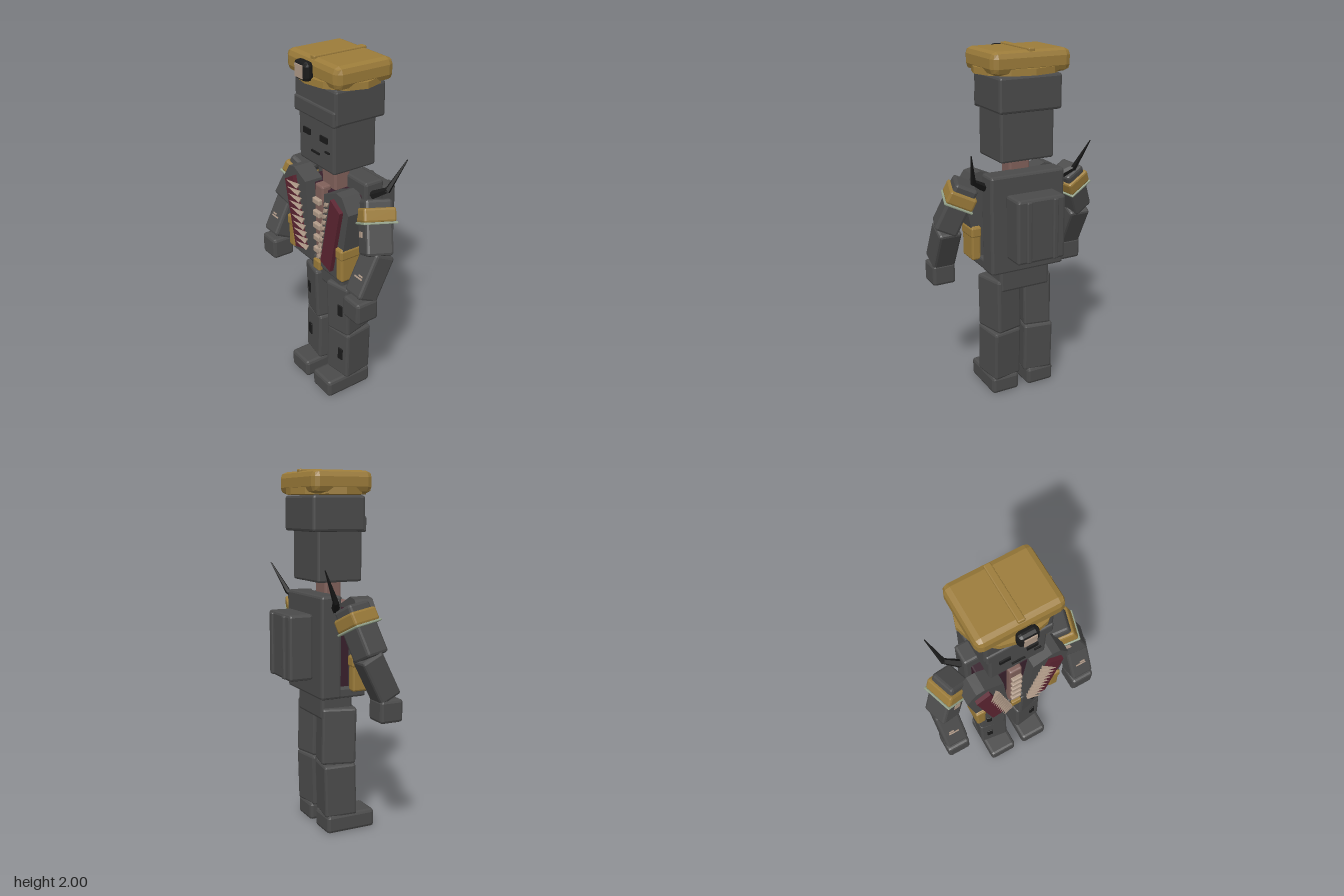
import * as THREE from 'three';
import { RoundedBoxGeometry } from 'three/addons/geometries/RoundedBoxGeometry.js';

const paint = (name, color) => {
  const m = new THREE.MeshStandardMaterial({ color, flatShading: true });
  m.name = name;
  return m;
};

export function createModel() {
  const grey = paint('grey cloth', 0x4b4b4b);
  const mustard = paint('mustard', 0x9c7c3a);
  const black = paint('black', 0x1a1a1a);
  const maroon = paint('maroon lining', 0x5c2431);
  const plum = paint('plum shirt', 0x38202c);
  const bone = paint('bone', 0xb09a88);
  const skin = paint('skin', 0x80605a);
  const sage = paint('sage trim', 0x95a38c);

  const model = new THREE.Group();
  model.name = 'capped soldier';

  const add = (name, geo, mat, parent = model) => {
    const m = new THREE.Mesh(geo, mat);
    m.name = name;
    parent.add(m);
    return m;
  };
  // chamfered block: size, centre, chamfer
  const block = (name, mat, size, pos, r = 0.01, parent = model) => {
    const m = add(name, new RoundedBoxGeometry(...size, 1, r), mat, parent);
    m.position.set(...pos);
    return m;
  };
  const plate = (name, mat, size, pos, parent = model) => {
    const m = add(name, new THREE.BoxGeometry(...size), mat, parent);
    m.position.set(...pos);
    return m;
  };
  const joint = (name, pos, rot) => {
    const g = new THREE.Group();
    g.name = name;
    g.position.set(...pos);
    g.rotation.set(...rot);
    model.add(g);
    return g;
  };
  // flat panel from xy points, s mirrors it
  const panel = (name, mat, pts, s, z, depth) => {
    const shape = new THREE.Shape(pts.map(([x, y]) => new THREE.Vector2(s * x, y)));
    const m = add(name, new THREE.ExtrudeGeometry(shape, { depth, bevelEnabled: false }), mat);
    m.position.z = z;
    return m;
  };
  // tapered rod between two points
  const rod = (name, mat, a, b, r1, r2, sides = 5) => {
    const A = new THREE.Vector3(...a), B = new THREE.Vector3(...b);
    const d = B.clone().sub(A);
    const m = add(name, new THREE.CylinderGeometry(r2, r1, d.length(), sides), mat);
    m.position.copy(A).addScaledVector(d, 0.5);
    m.quaternion.setFromUnitVectors(new THREE.Vector3(0, 1, 0), d.normalize());
    return m;
  };

  // Cap
  const brim = add('capBrim', new THREE.CylinderGeometry(0.25, 0.25, 0.035, 12), mustard);
  brim.scale.z = 0.83;
  brim.position.set(0, 1.885, 0.033);
  block('capCrown', mustard, [0.46, 0.12, 0.35], [0, 1.93, 0.028], 0.035);
  block('capRidge', mustard, [0.038, 0.03, 0.32], [0, 1.985, 0.03], 0.006);
  block('badgeFrame', black, [0.11, 0.1, 0.055], [0, 1.935, 0.24], 0.022);
  plate('badgeFace', bone, [0.066, 0.066, 0.008], [0, 1.935, 0.268]);

  // Head
  block('headWrap', grey, [0.37, 0.19, 0.31], [0, 1.768, 0.025], 0.014);
  block('wrapFold', grey, [0.362, 0.085, 0.05], [0, 1.712, 0.165], 0.01);
  block('head', grey, [0.32, 0.29, 0.265], [0, 1.55, 0.042], 0.012);
  for (const s of [-1, 1]) plate('eye', black, [0.062, 0.032, 0.009], [s * 0.077, 1.58, 0.18]);
  plate('mouth', black, [0.074, 0.01, 0.009], [0, 1.485, 0.18]);
  plate('scar', black, [0.038, 0.009, 0.009], [0.108, 1.518, 0.18]);

  // Neck and open chest
  block('neck', skin, [0.125, 0.2, 0.1], [0, 1.34, 0.05], 0.012);
  block('shirt', plum, [0.38, 0.45, 0.14], [0, 1.04, 0.06]);
  block('breastbone', skin, [0.075, 0.46, 0.06], [0, 1.06, 0.135]);
  for (let i = 0; i < 5; i++)
    block('rib', bone, [0.062, 0.034, 0.03], [0, 1.197 - i * 0.076, 0.172], 0.006);

  // Coat
  block('coatBack', grey, [0.45, 0.56, 0.12], [0, 1.06, -0.04], 0.014);
  block('belt', grey, [0.44, 0.06, 0.27], [0, 0.81, 0.035], 0.012);
  block('buckle', mustard, [0.06, 0.06, 0.03], [0, 0.802, 0.175], 0.006);
  block('hips', grey, [0.31, 0.15, 0.19], [0, 0.725, 0.03], 0.015);

  // Backpack
  block('backpack', grey, [0.29, 0.36, 0.14], [0, 1.06, -0.18], 0.015);

  for (const s of [-1, 1]) {
    block('packStrap', grey, [0.032, 0.345, 0.03], [s * 0.08, 1.06, -0.25], 0.008);

    // Coat flap with lining and a row of teeth
    panel('coatFlap', grey, [[0.09, 1.28], [0.2, 1.33], [0.25, 1.32], [0.305, 1.24], [0.225, 0.81], [0.05, 0.82]], s, 0.08, 0.11);
    panel('lapel', maroon, [[0.18, 1.29], [0.262, 1.242], [0.17, 0.85], [0.08, 0.875]], s, 0.19, 0.024);
    for (let i = 0; i < 10; i++) {
      const t = i / 9, x = 0.135 - 0.08 * t, y = 1.24 - 0.35 * t;
      rod('tooth', bone, [s * x, y, 0.208], [s * (x + 0.06), y + 0.03, 0.245], 0.017, 0.001, 4);
    }
    block('beltPouch', mustard, [0.055, 0.2, 0.13], [s * 0.235, 0.92, 0.135], 0.01);
    block('pouchFlap', mustard, [0.062, 0.06, 0.142], [s * 0.236, 0.985, 0.135], 0.01);

    // Shoulder horn
    rod('hornBase', black, [s * 0.23, 1.27, -0.02], [s * 0.31, 1.32, -0.06], 0.024, 0.016);
    rod('hornTip', black, [s * 0.306, 1.312, -0.057], [s * 0.356, 1.487, -0.145], 0.017, 0.003);

    // Arm
    const upper = joint('upperArm', [s * 0.365, 1.165, 0.06], [-0.12, -s * 0.3, s * 0.4]);
    block('sleeve', grey, [0.13, 0.29, 0.15], [0, 0, 0], 0.015, upper);
    block('shoulderBand', mustard, [0.155, 0.075, 0.18], [0, 0.065, 0], 0.012, upper);
    block('bandTrim', sage, [0.164, 0.012, 0.188], [0, 0.024, 0], 0.004, upper);
    plate('sleevePatch', bone, [0.04, 0.03, 0.006], [-s * 0.015, -0.035, 0.076], upper);
    const fore = joint('forearm', [s * 0.41, 0.93, 0.128], [-0.47, 0, 0]);
    block('lowerSleeve', grey, [0.132, 0.26, 0.13], [0, 0, 0], 0.015, fore);
    plate('stitch', bone, [0.06, 0.008, 0.006], [0, -0.03, 0.066], fore);
    plate('stitch', bone, [0.03, 0.008, 0.006], [s * 0.012, -0.016, 0.066], fore);
    block('hand', grey, [0.135, 0.125, 0.135], [s * 0.412, 0.748, 0.187], 0.016);

    // Leg
    const thigh = joint('thigh', [s * 0.109, 0.555, 0.045], [0.02, s * 0.22, 0]);
    block('thighCloth', grey, [0.162, 0.32, 0.195], [0, 0, 0], 0.014, thigh);
    block('thighPatch', black, [0.034, 0.075, 0.02], [s * 0.025, 0, 0.094], 0.004, thigh);
    const shin = joint('shin', [s * 0.112, 0.245, 0.045], [-0.03, s * 0.14, 0]);
    block('shinCloth', grey, [0.176, 0.3, 0.185], [0, 0, 0], 0.014, shin);
    block('shinPatch', black, [0.036, 0.075, 0.02], [s * 0.03, 0, 0.09], 0.004, shin);
    block('boot', grey, [0.17, 0.105, 0.295], [s * 0.115, 0.0525, 0.1], 0.018);
  }
  return model;
}
